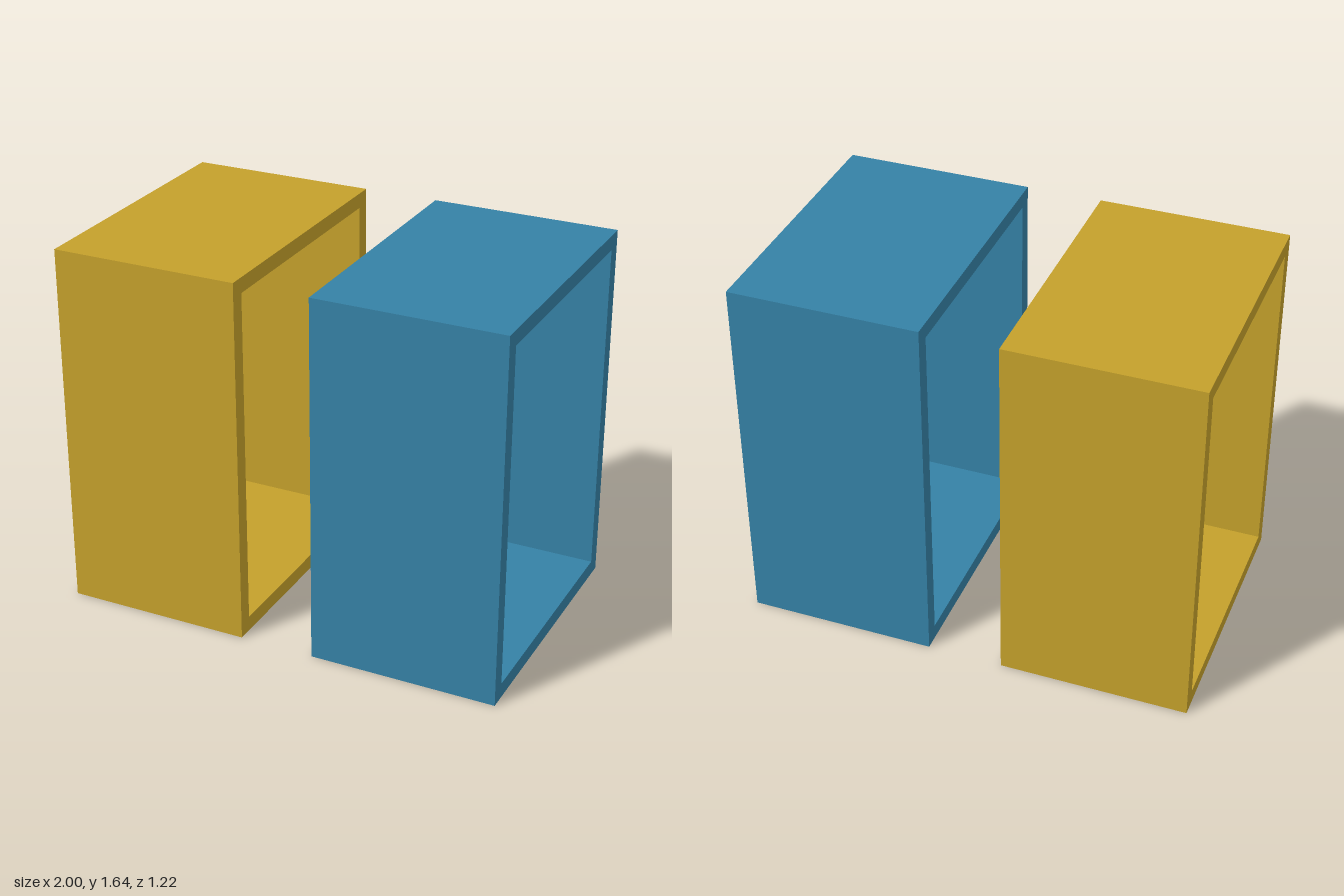
import * as THREE from 'three';

const HEIGHT = 1.64, DEPTH = 1.224, WIDTH = 0.833, WALL = 0.067, GAP = 0.334;

// Rectangle outline centred on z, as a list of corners
function corners(halfDepth, bottom, top) {
  return [[-halfDepth, bottom], [halfDepth, bottom], [halfDepth, top], [-halfDepth, top]]
    .map(([x, y]) => new THREE.Vector2(x, y));
}

// Rectangular tube, open along x
function frameGeometry() {
  const shape = new THREE.Shape(corners(DEPTH / 2, 0, HEIGHT));
  shape.holes.push(new THREE.Path(corners(DEPTH / 2 - WALL, WALL, HEIGHT - WALL)));
  const geometry = new THREE.ExtrudeGeometry(shape, { depth: WIDTH, bevelEnabled: false });
  geometry.translate(0, 0, -WIDTH / 2);
  geometry.rotateY(Math.PI / 2);
  return geometry;
}

export function createModel() {
  const group = new THREE.Group();
  group.name = 'openFramePair';

  const blue = new THREE.MeshStandardMaterial({ color: 0x3581a5 });
  blue.name = 'blue';
  const yellow = new THREE.MeshStandardMaterial({ color: 0xc4a02b });
  yellow.name = 'mustardYellow';

  // Two matching frames side by side
  const geometry = frameGeometry();
  for (const [name, material, side] of [['leftFrame', blue, 1], ['rightFrame', yellow, -1]]) {
    const frame = new THREE.Mesh(geometry, material);
    frame.name = name;
    frame.position.x = side * (GAP + WIDTH) / 2;
    group.add(frame);
  }
  return group;
}
